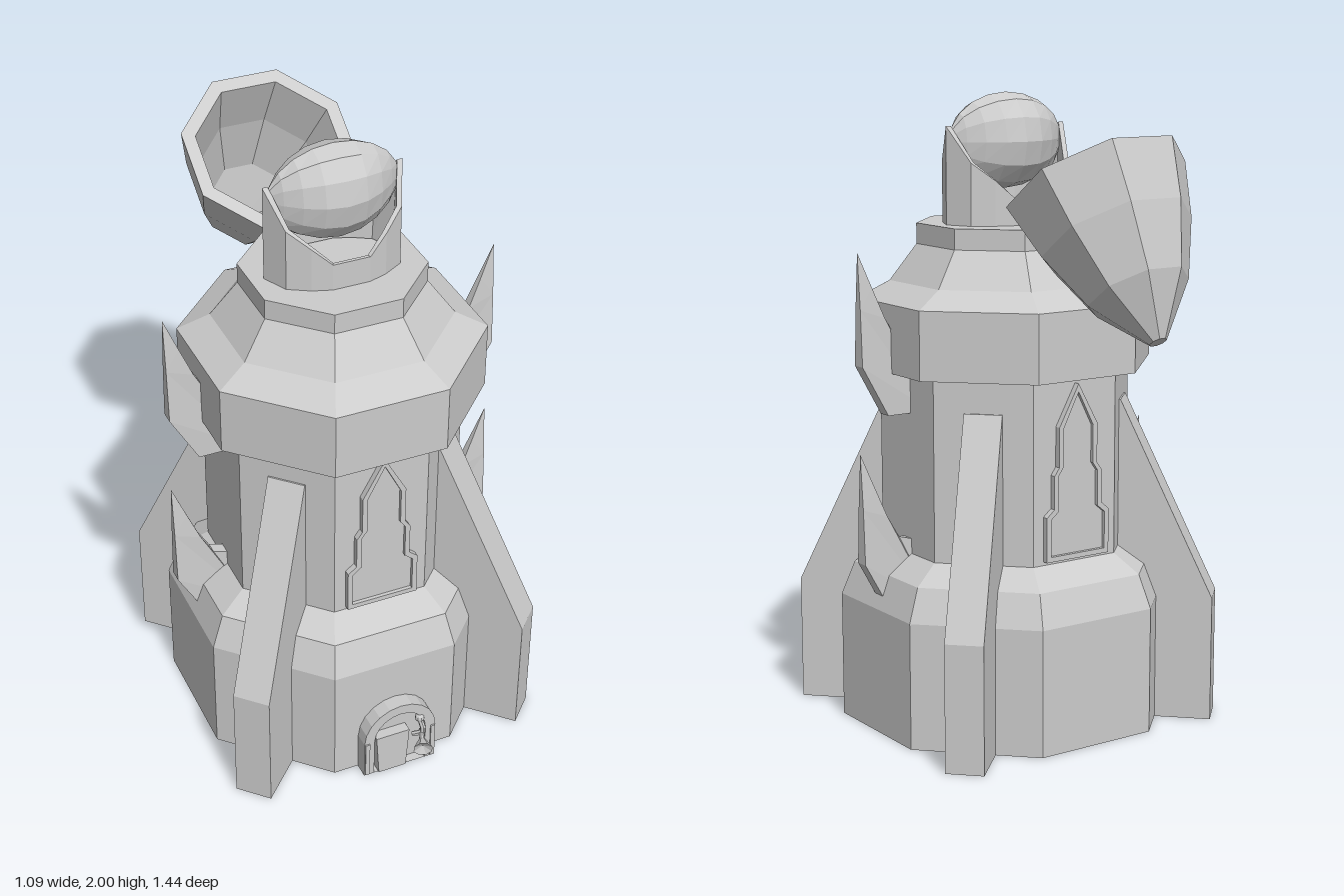
import * as THREE from 'three';

const AXIS_Z = 0.09; // tower axis
const material = new THREE.MeshStandardMaterial({ color: 0xcccccc, flatShading: true, side: THREE.DoubleSide });

function part(name, geometry, parent) {
  const mesh = new THREE.Mesh(geometry, material);
  mesh.name = name;
  parent.add(mesh);
  return mesh;
}

// Eight-sided turned solid from [apothem, y] pairs, with flat sides facing the axes
function octagon(profile) {
  const k = 1 / Math.cos(Math.PI / 8);
  const points = profile.map(([a, y]) => new THREE.Vector2(a * k, y));
  return new THREE.LatheGeometry(points, 8).rotateY(Math.PI / 8);
}

const toShape = (pts) => new THREE.Shape(pts.map(([x, y]) => new THREE.Vector2(x, y)));

function extrude(shape, depth) {
  return new THREE.ExtrudeGeometry(shape, { depth, bevelEnabled: false, curveSegments: 5 });
}

// Right half of an outline mirrored to a full one
const mirrored = (half) => [...half, ...half.filter(([x]) => x > 0).reverse().map(([x, y]) => [-x, y])];

// Skin over equal-length closed rings of points
function skin(rings) {
  const n = rings[0].length, index = [];
  for (let i = 0; i < rings.length - 1; i++) {
    for (let j = 0; j < n; j++) {
      const a = i * n + j, b = i * n + (j + 1) % n;
      index.push(a, a + n, b, b, a + n, b + n);
    }
  }
  const g = new THREE.BufferGeometry();
  g.setAttribute('position', new THREE.Float32BufferAttribute(rings.flat(2), 3));
  g.setIndex(index);
  g.computeVertexNormals();
  return g;
}

// Hooked side fin, thinning to a point at its tip
function finGeometry() {
  const g = extrude(toShape([
    [0.3, 0], [0.455, 0], [0.545, 0.16], [0.545, 0.335], [0.545, 0.51],
    [0.5, 0.4], [0.46, 0.305], [0.42, 0.235], [0.3, 0.2],
  ]), 1).translate(0, 0, -0.5);
  const p = g.attributes.position;
  for (let i = 0; i < p.count; i++) {
    const t = Math.max(0, (p.getY(i) - 0.16) / 0.35);
    p.setZ(i, p.getZ(i) * 0.046 * (1 - t ** 1.4));
  }
  g.computeVertexNormals();
  return g;
}

// Pointed window: raised frame around a recessed pane
function addWindow(parent, name, angle) {
  const half = (d) => [
    [0.118 - d, 0.58 + d], [0.118 - d, 0.722 - d * 0.5], [0.09 - d, 0.745 - d * 0.5], [0.09 - d, 0.85],
    [0.072 - d, 0.875], [0.072 - d, 1.0 - d * 0.3], [0, 1.13 - d * 1.6],
  ];
  const group = new THREE.Group();
  group.name = name;
  const frame = toShape(mirrored(half(0)));
  frame.holes.push(toShape(mirrored(half(0.016))));
  part('windowFrame', extrude(frame, 0.03), group).position.z = 0.365;
  part('windowPane', extrude(toShape(mirrored(half(0.016))), 0.018), group).position.z = 0.365;
  group.rotation.y = angle;
  parent.add(group);
}

// Lens-shaped open socket with the rim rising to a peak on each side
function socketGeometry() {
  const quarter = [[0.223, 0, 1.9], [0.185, 0.082, 1.79], [0.12, 0.12, 1.735], [0.06, 0.14, 1.68]];
  const flipX = ([x, z, h]) => [-x, z, h];
  const front = [...quarter, ...quarter.map(flipX).reverse()];
  const back = front.slice(1, -1).reverse().map(([x, z, h]) => [x, -z, h]);
  const loop = [...front, ...back];
  const ring = (s, level) => loop.map(([x, z, h]) => [x * s, level ?? h, z * s]);
  return skin([ring(1, 1.58), ring(1), ring(0.92), ring(0.88, 1.6)]);
}

// Eye with pointed corners, seen from above as a lens
function eyeGeometry() {
  const g = new THREE.SphereGeometry(1, 12, 10).rotateZ(Math.PI / 2);
  const p = g.attributes.position;
  for (let i = 0; i < p.count; i++) {
    const x = p.getX(i);
    p.setXYZ(i, x * 0.212, 1.85 + p.getY(i) * 0.15, p.getZ(i) * 0.12 * Math.sqrt(Math.max(0, 1 - x * x)));
  }
  g.computeVertexNormals();
  return g;
}

// Small arched doorway with a leaning panel and a flared horn
function addDoor(parent) {
  const door = new THREE.Group();
  door.name = 'door';
  const arch = (r, h) => {
    const s = new THREE.Shape();
    s.moveTo(-r, 0);
    s.lineTo(r, 0);
    s.lineTo(r, h - r);
    s.absarc(0, h - r, r, 0, Math.PI);
    s.closePath();
    return s;
  };
  const frame = arch(0.125, 0.26);
  frame.holes.push(arch(0.09, 0.225));
  part('doorFrame', extrude(frame, 0.06), door).position.z = 0.49;
  part('doorLeaf', extrude(arch(0.09, 0.225), 0.03), door).position.z = 0.49;
  part('doorPanel', extrude(toShape([[-0.075, 0], [0.02, 0], [0.03, 0.15], [-0.085, 0.15]]), 0.04), door).position.z = 0.515;
  for (const s of [-1, 1]) {
    part('doorBracket', new THREE.BoxGeometry(0.015, 0.13, 0.03), door).position.set(s * 0.115, 0.07, 0.54);
  }
  const horn = part('doorHorn', new THREE.LatheGeometry(
    [[0, 0], [0.008, 0], [0.01, 0.04], [0.032, 0.08], [0, 0.065]].map(([x, y]) => new THREE.Vector2(x, y)), 8), door);
  horn.position.set(0.077, 0.125, 0.545);
  horn.quaternion.setFromUnitVectors(new THREE.Vector3(0, 1, 0), new THREE.Vector3(-0.35, -0.15, 0.92).normalize());
  const stem = new THREE.CatmullRomCurve3([[0.05, 0.11, 0.54], [0.075, 0.13, 0.56], [0.07, 0.18, 0.545]].map((v) => new THREE.Vector3(...v)));
  part('doorHandle', new THREE.TubeGeometry(stem, 5, 0.009, 6), door);
  const knob = part('doorKnob', new THREE.SphereGeometry(0.016, 8, 6), door);
  knob.position.set(0.07, 0.18, 0.545);
  parent.add(door);
}

export function createModel() {
  const model = new THREE.Group();
  model.name = 'watchtower';
  const tower = new THREE.Group();
  tower.name = 'tower';
  tower.position.z = AXIS_Z;
  model.add(tower);

  // Stacked octagonal body
  part('base', octagon([[0, 0], [0.5, 0], [0.5, 0.405], [0.46, 0.51], [0.375, 0.568], [0.3, 0.568]]), tower);
  part('shaft', octagon([[0.375, 0.55], [0.375, 1.16]]), tower);
  part('collar', octagon([
    [0.3, 1.15], [0.44, 1.15], [0.44, 1.365], [0.345, 1.417], [0.265, 1.53], [0.265, 1.595], [0, 1.595],
  ]), tower);

  // Diagonal buttresses
  const buttress = extrude(toShape([[0.3, 0], [0.68, 0], [0.68, 0.405], [0.38, 1.043], [0.3, 1.043]]), 0.12)
    .translate(0, 0, -0.06);
  for (let i = 0; i < 4; i++) part('buttress', buttress, tower).rotation.y = Math.PI / 4 + i * Math.PI / 2;

  // Two hooked fins on each side
  const fin = finGeometry();
  for (const turn of [0, Math.PI]) {
    for (const y of [1.02, 0.395]) {
      const mesh = part('sideFin', fin, tower);
      mesh.position.y = y;
      mesh.rotation.y = turn;
    }
  }

  addWindow(tower, 'frontWindow', 0);
  addWindow(tower, 'backWindow', Math.PI);
  addDoor(tower);

  // Eye in its socket
  part('eyeSocket', socketGeometry(), tower);
  part('eye', eyeGeometry(), tower);

  // Opened hollow lid behind the top
  const lid = part('lid', octagon([
    [0, -0.53], [0.025, -0.53], [0.147, -0.365], [0.22, -0.18], [0.264, 0],
    [0.222, 0], [0.185, -0.17], [0.118, -0.34], [0, -0.48],
  ]), model);
  lid.position.set(0, 1.745, -0.3875);
  lid.rotation.x = 0.604;
  return model;
}
